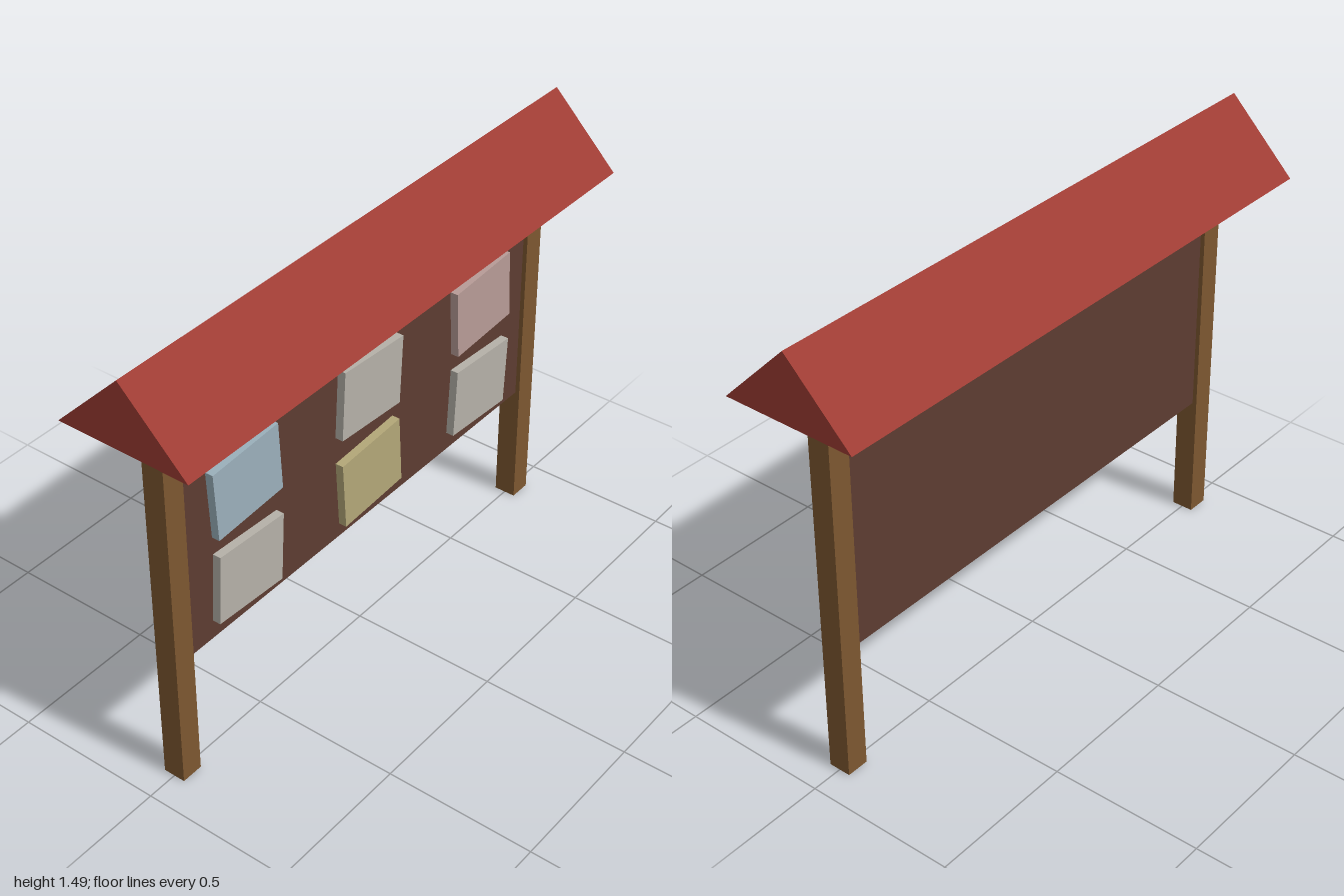
import * as THREE from 'three';

const material = (color) => new THREE.MeshStandardMaterial({ color, flatShading: true });

export function createModel() {
  const model = new THREE.Group();
  model.name = 'noticeBoard';

  const wood = material(0x7d5730);
  const boardWood = material(0x5d3c31);
  const red = material(0x9e3c34);

  function box(name, size, position, mat) {
    const mesh = new THREE.Mesh(new THREE.BoxGeometry(...size), mat);
    mesh.name = name;
    mesh.position.set(...position);
    model.add(mesh);
    return mesh;
  }

  // Two square posts carrying the board
  box('leftPost', [0.075, 1.235, 0.075], [0.858, 0.6175, 0], wood);
  box('rightPost', [0.075, 1.235, 0.075], [-0.858, 0.6175, 0], wood);
  box('board', [1.642, 0.74, 0.045], [0, 0.802, 0], boardWood);

  // Slab under the roof
  box('eaveSlab', [1.885, 0.03, 0.342], [0, 1.247, 0], red);

  // Gabled roof: a triangle extruded along x
  const gable = new THREE.Shape();
  gable.moveTo(-0.227, 0);
  gable.lineTo(0.227, 0);
  gable.lineTo(0, 0.226);
  gable.closePath();
  const roofGeometry = new THREE.ExtrudeGeometry(gable, { depth: 2, bevelEnabled: false });
  roofGeometry.translate(0, 0, -1);
  roofGeometry.rotateY(Math.PI / 2);
  const roof = new THREE.Mesh(roofGeometry, red);
  roof.name = 'roof';
  roof.position.y = 1.26;
  model.add(roof);

  // Two rows of three notes, tilted alternately
  const noteColors = [
    [0x9bb0bb, 0xb5b1a8, 0xb89c97],
    [0xb5b1a8, 0xb3a778, 0xb5b1a8],
  ];
  noteColors.forEach((row, r) => row.forEach((color, c) => {
    const position = [(c - 1) * 0.57, r ? 0.607 : 0.922, 0.036];
    const note = box(`note${r * 3 + c + 1}`, [0.28, 0.237, 0.028], position, material(color));
    note.rotation.z = (r + c) % 2 ? -0.06 : 0.06;
  }));

  return model;
}
